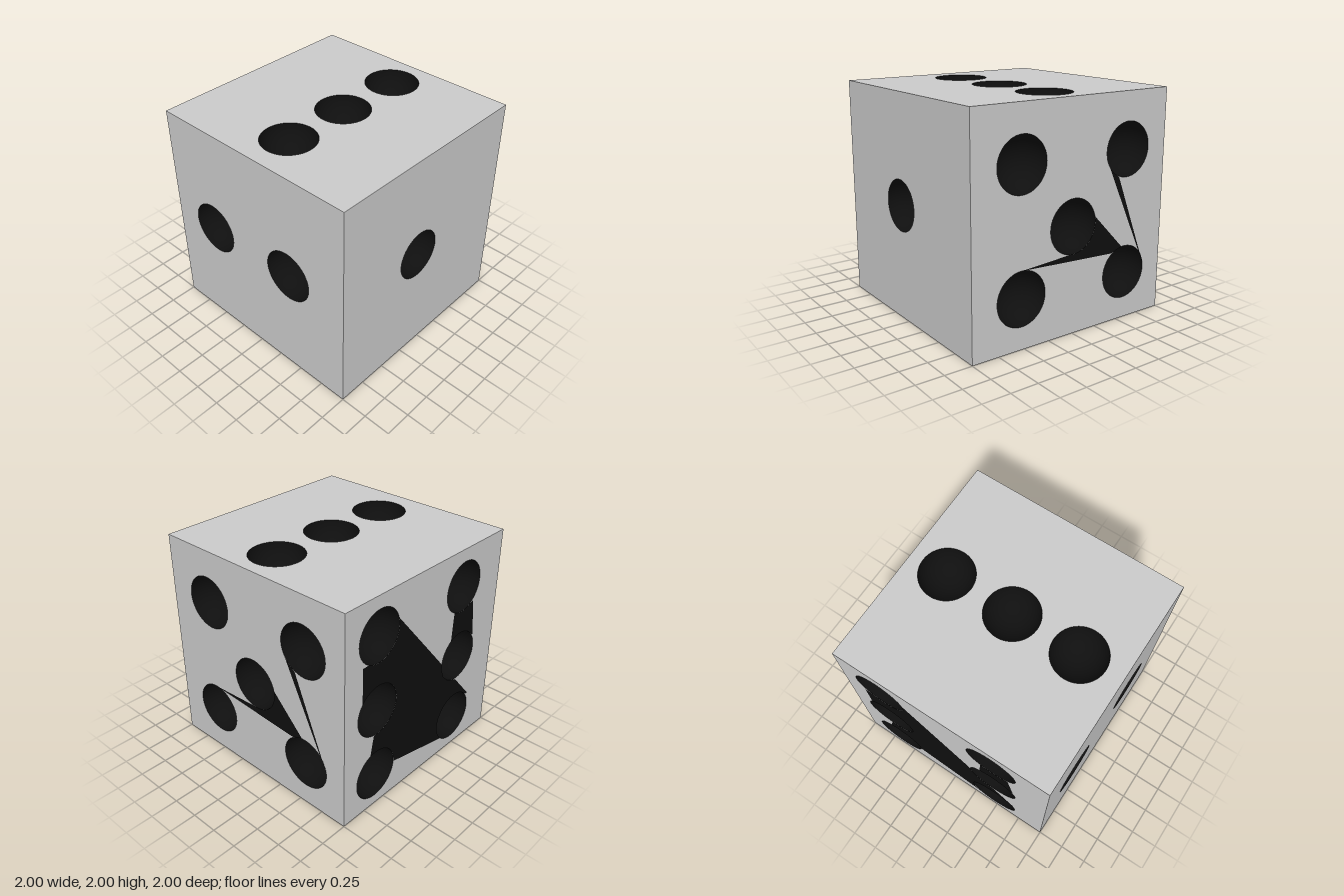
import * as THREE from 'three';

const SEG = 64;
const R = 0.237;
const grey = new THREE.MeshStandardMaterial({ color: 0xcccccc });
const black = new THREE.MeshStandardMaterial({ color: 0x0f0f0f, side: THREE.DoubleSide });

// Each side: rotation, pip centres, and flat black patches running between pips.
// Points are written in model coordinates; "at" turns them into the side's own plane.
const sides = [
  { name: 'front', rot: [0, 0], r: 0.228, at: (x, y) => [x, y - 1], pips: [[-0.08, 1.03]] },
  {
    name: 'fivePip', rot: [0, Math.PI / 2], at: (z, y) => [-z, y - 1],
    pips: [[0.53, 1.52], [-0.57, 1.51], [0.01, 0.94], [0.53, 0.435], [-0.57, 0.425]],
    patches: [
      [[0.53, 0.672], [-0.46, 0.62], [-0.54, 0.66], [-0.22, 0.99], [-0.17, 0.8], [0.03, 0.705]],
      [[-0.37, 1.38], [-0.48, 1.28], [-0.805, 0.46], [-0.745, 0.585]],
    ],
  },
  {
    name: 'back', rot: [0, Math.PI], r: 0.233, at: (x, y) => [-x, y - 1],
    pips: [0.614, -0.469].flatMap((x) => [1.65, 0.97, 0.32].map((y) => [x, y])),
    patches: [
      [[0.39, 1.716], [-0.69, 0.464], [-0.32, 0.5], [-0.304, 0.15], [0.4, 0.313], [0.69, 0.532],
        [0.652, 0.727], [0.45, 0.9], [0.59, 1.19], [0.797, 1.08], [0.8, 1.45], [0.55, 1.45]],
      [[-0.36, 1.44], [-0.343, 1.15], [-0.5, 1.19], [-0.68, 1.1], [-0.63, 1.46], [-0.5, 1.42]],
    ],
  },
  { name: 'twoPip', rot: [0, -Math.PI / 2], at: (z, y) => [z, y - 1], pips: [[-0.51, 1.02], [0.39, 1.02]] },
  { name: 'top', rot: [-Math.PI / 2, 0], at: (x, z) => [x, -z], pips: [[-0.605, 0.05], [0.02, 0.05], [0.65, 0.05]] },
  {
    name: 'bottom', rot: [Math.PI / 2, 0], at: (x, z) => [x, z],
    pips: [[0.435, -0.42], [-0.447, -0.42], [0.435, 0.5], [-0.447, 0.485]],
    patches: [[[0.31, 0.29], [-0.29, 0.31], [0.21, 0.57]]],
  },
];

// Outline of a patch; samples that fall inside a pip are pushed out to its rim.
function patchShape(corners, pips, r) {
  const points = [];
  const n = 24;
  corners.forEach((a, i) => {
    const b = corners[(i + 1) % corners.length];
    for (let k = 0; k < n; k++) {
      const p = new THREE.Vector2(...a).lerp(new THREE.Vector2(...b), k / n);
      for (const c of pips) {
        const d = p.clone().sub(new THREE.Vector2(...c));
        if (d.length() < r) p.set(...c).add(d.setLength(r));
      }
      points.push(p);
    }
  });
  return new THREE.Shape(points);
}

function buildSide({ name, rot, at, pips, patches = [], r = R }) {
  const side = new THREE.Group();
  side.name = name + 'Side';
  const add = (part, geometry, material) => {
    const mesh = new THREE.Mesh(geometry, material);
    mesh.name = part;
    side.add(mesh);
  };
  const centres = pips.map((p) => at(...p));

  // square face with a round opening for every pip
  const square = new THREE.Shape([[-1, -1], [1, -1], [1, 1], [-1, 1]].map((p) => new THREE.Vector2(...p)));
  for (const [u, v] of centres) {
    const circle = [];
    for (let i = 0; i < SEG; i++) {
      const t = (i / SEG) * Math.PI * 2;
      circle.push(new THREE.Vector2(u + r * Math.cos(t), v + r * Math.sin(t)));
    }
    square.holes.push(new THREE.Path(circle));
  }
  add('face', new THREE.ShapeGeometry(square).translate(0, 0, 1), grey);

  // hollow half-sphere pips sunk into the face
  for (const [u, v] of centres) {
    const bowl = new THREE.SphereGeometry(r, SEG, 16, 0, Math.PI * 2, Math.PI / 2, Math.PI / 2);
    add('pip', bowl.rotateX(Math.PI / 2).translate(u, v, 1), black);
  }

  // flat dark patches between pips
  for (const corners of patches) {
    const shape = patchShape(corners.map((p) => at(...p)), centres, r);
    add('darkPatch', new THREE.ShapeGeometry(shape).translate(0, 0, 1.001), black);
  }

  side.rotation.set(rot[0], rot[1], 0);
  side.position.y = 1;
  return side;
}

export function createModel() {
  const die = new THREE.Group();
  die.name = 'die';
  for (const s of sides) die.add(buildSide(s));
  return die;
}
